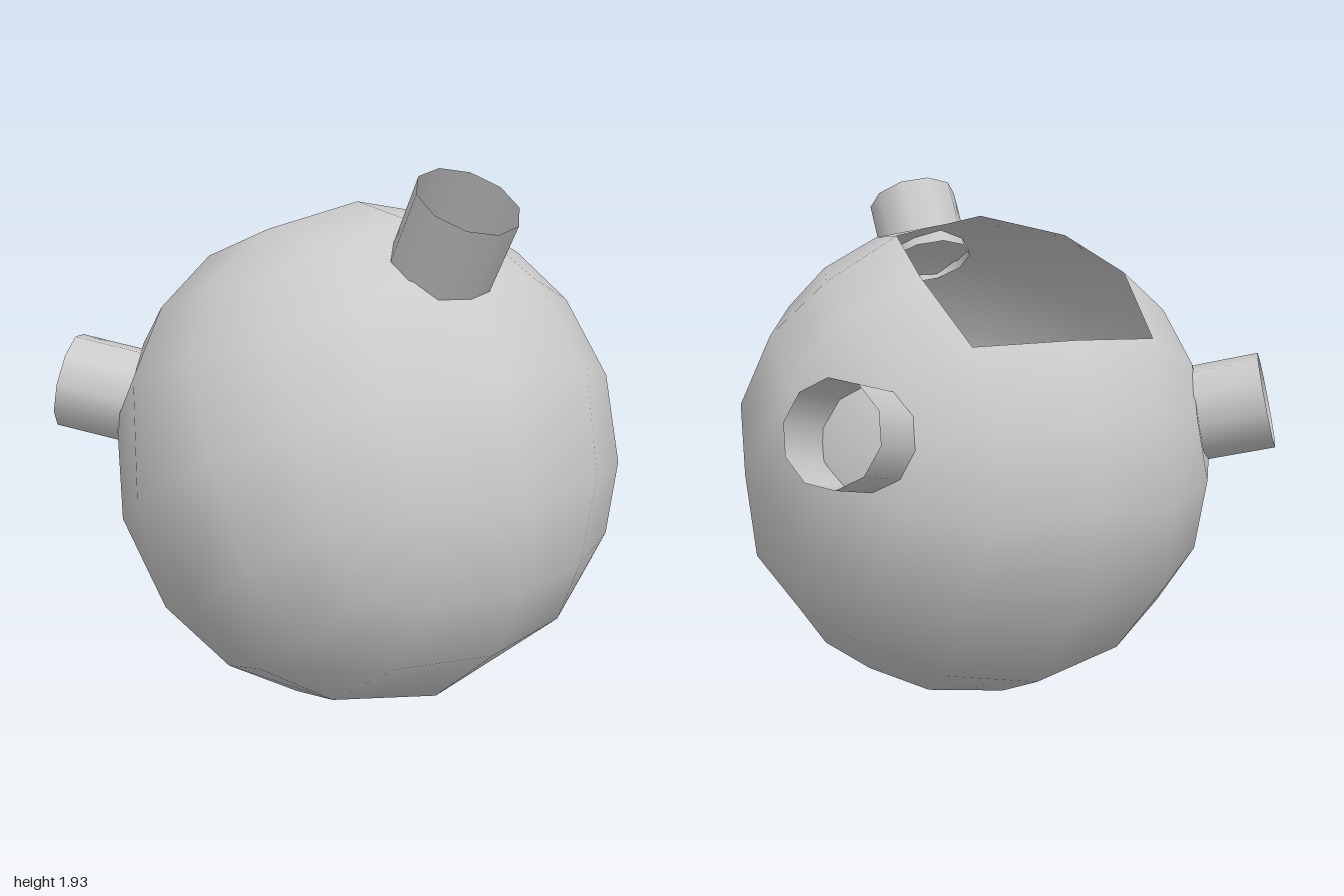
import * as THREE from 'three';

const RADIUS = 0.89;
const material = new THREE.MeshStandardMaterial({ color: 0xcccccc, side: THREE.DoubleSide });

// Hollow ball made from a 4x4 cube grid pushed out to a sphere,
// with the middle four cells of the top side left open.
function makeShell() {
  const geo = new THREE.BoxGeometry(2, 2, 2, 4, 4, 4);
  const pos = geo.attributes.position;
  const src = geo.index.array;
  const kept = [];
  const c = new THREE.Vector3(), v = new THREE.Vector3();
  for (let i = 0; i < src.length; i += 3) {
    c.set(0, 0, 0);
    for (let k = 0; k < 3; k++) c.add(v.fromBufferAttribute(pos, src[i + k]));
    c.divideScalar(3);
    const opening = c.y > 0.99 && Math.abs(c.x) < 0.5 && Math.abs(c.z) < 0.5;
    if (!opening) kept.push(src[i], src[i + 1], src[i + 2]);
  }
  geo.setIndex(kept);
  geo.clearGroups();
  for (let i = 0; i < pos.count; i++) {
    const p = v.fromBufferAttribute(pos, i).toArray();
    // the diagonal grid points of each side sit slightly closer to its middle
    const diagonal = p.filter((a) => Math.abs(Math.abs(a) - 0.5) < 0.01).length === 2;
    v.fromArray(p.map((a) => (diagonal && Math.abs(a) < 0.9 ? a * 0.914 : a))).normalize();
    geo.attributes.normal.setXYZ(i, v.x, v.y, v.z);
    v.multiplyScalar(RADIUS);
    pos.setXYZ(i, v.x, v.y, v.z);
  }
  return geo;
}

// Open pipe stub pointing outward, 60 degrees away from the opening
function makePipe(turn) {
  const inner = 0.82, outer = 1.1;
  const geo = new THREE.CylinderGeometry(0.172, 0.172, outer - inner, 10, 1, true);
  geo.translate(0, (inner + outer) / 2, 0);
  geo.rotateX(Math.PI / 3);
  geo.rotateY(turn);
  return geo;
}

export function createModel() {
  const model = new THREE.Group();
  const pot = new THREE.Group();
  pot.name = 'tiltedPot';

  const shell = new THREE.Mesh(makeShell(), material);
  shell.name = 'sphericalShell';
  pot.add(shell);

  // three pipes evenly spaced around the opening
  ['frontPipe', 'backPipe', 'sidePipe'].forEach((name, i) => {
    const pipe = new THREE.Mesh(makePipe((i * 2 * Math.PI) / 3), material);
    pipe.name = name;
    pot.add(pipe);
  });

  // lean the whole pot 30 degrees toward its back corner
  const up = new THREE.Vector3(-Math.SQRT2 / 4, Math.sqrt(3) / 2, -Math.SQRT2 / 4);
  const side = new THREE.Vector3(Math.SQRT1_2, 0, -Math.SQRT1_2);
  const front = new THREE.Vector3().crossVectors(side, up);
  pot.setRotationFromMatrix(new THREE.Matrix4().makeBasis(side, up, front));
  pot.position.set(0.108, 0.885, 0.108);
  model.add(pot);
  return model;
}
